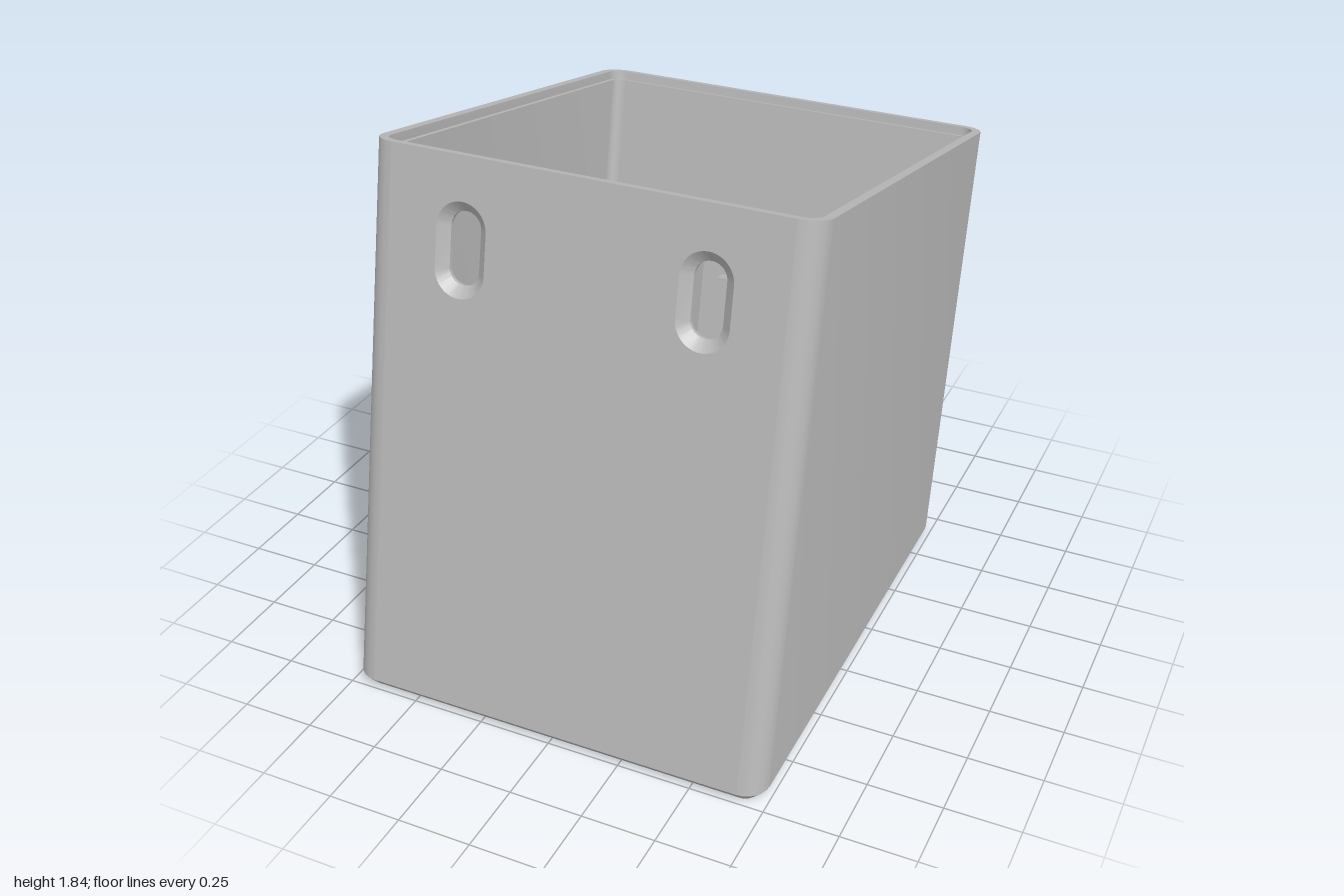
import * as THREE from 'three';
import { toCreasedNormals } from 'three/addons/utils/BufferGeometryUtils.js';

const TILT = Math.atan(0.2), S = Math.sin(TILT), C = Math.cos(TILT);
const CENTRE_Z = 0.156;        // where the tilted axis meets the ground
const HX = 0.74, HW = 0.835;   // half width and half depth across the axis
const R = 0.08, WALL = 0.045, LIP = 0.03, TOP = 1.709;
const FLAT = HX - R;           // half width of the flat front and back panels
const STEPS = 6;

const V = (x, y, z) => new THREE.Vector3(x, y, z);
// Axis height at which depth w lies at ground height y
const vAt = (y, w) => (y - w * S) / C;
const square = (v) => (x, w) => V(x, v, w);
const level = (y) => (x, w) => V(x, vAt(y, w), w);
const groundPoint = (y) => (x, z) =>
  V(x, y * C - (z - CENTRE_Z) * S, (z - CENTRE_Z) * C + y * S);

// Rounded rectangle, placed in space by the given function
function ring(hx, hw, r, place, centre = 0) {
  const pts = [];
  [[1, 1], [-1, 1], [-1, -1], [1, -1]].forEach(([sx, sw], q) => {
    for (let i = 0; i <= STEPS; i++) {
      const a = (q + i / STEPS) * Math.PI / 2;
      pts.push(place(sx * (hx - r) + r * Math.cos(a), centre + sw * (hw - r) + r * Math.sin(a)));
    }
  });
  return pts;
}

// Closed loops joined by bands; skip(band, i) leaves a gap for a panel
function loft(rings, skip = () => false) {
  const pos = [];
  for (let k = 0; k < rings.length - 1; k++) {
    const lo = rings[k], hi = rings[k + 1];
    for (let i = 0; i < lo.length; i++) {
      if (skip(k, i)) continue;
      const j = (i + 1) % lo.length;
      for (const p of [lo[i], hi[i], hi[j], lo[i], hi[j], lo[j]]) pos.push(p.x, p.y, p.z);
    }
  }
  const g = new THREE.BufferGeometry();
  g.setAttribute('position', new THREE.Float32BufferAttribute(pos, 3));
  return toCreasedNormals(g, 0.6);
}

// Upright slot outline
function slot(cx, cy, r, half) {
  const pts = [];
  for (let i = 0; i <= 24; i++) {
    const a = i / 24 * Math.PI;
    pts.push(new THREE.Vector2(cx + r * Math.cos(a), cy + half - r + r * Math.sin(a)));
  }
  const lower = pts.map((p) => new THREE.Vector2(2 * cx - p.x, 2 * cy - p.y));
  return [...pts, ...lower];
}

// Teardrop outline: a round base with tangents to a tip above
function drop(cy, r, tip) {
  const a0 = Math.asin(r / tip), span = Math.PI + 2 * a0;
  const pts = [new THREE.Vector2(0, cy + tip)];
  for (let i = 0; i <= 36; i++) {
    const a = Math.PI - a0 + i / 36 * span;
    pts.push(new THREE.Vector2(r * Math.cos(a), cy + r * Math.sin(a)));
  }
  return pts;
}

const atDepth = (outline, w) => outline.map((p) => V(p.x, p.y, w));

// Flat panel with openings
function panel(w, facing, bottom, top, outlines) {
  const shape = new THREE.Shape([[-FLAT, bottom], [FLAT, bottom], [FLAT, top], [-FLAT, top]]
    .map(([x, y]) => new THREE.Vector2(x, y)));
  shape.holes = outlines.map((o) => new THREE.Path(o));
  const g = new THREE.ShapeGeometry(shape);
  if (facing < 0) g.rotateY(Math.PI);
  return g.translate(0, 0, w);
}

export function createModel() {
  const model = new THREE.Group();
  const body = new THREE.Group();
  body.name = 'tiltedBody';
  body.rotation.x = -TILT;
  body.position.z = CENTRE_Z;
  model.add(body);

  const grey = new THREE.MeshStandardMaterial({ color: 0xb8b8b8, side: THREE.DoubleSide });
  grey.name = 'light grey';
  const add = (name, geometry) => {
    const mesh = new THREE.Mesh(geometry, grey);
    mesh.name = name;
    body.add(mesh);
  };
  const box = (name, x0, x1, v0, v1, w0, w1) => add(name,
    new THREE.BoxGeometry(x1 - x0, v1 - v0, w1 - w0)
      .translate((x0 + x1) / 2, (v0 + v1) / 2, (w0 + w1) / 2));

  // Shell: outside, stepped rim, inside, floor ledge, square floor opening, chamfered foot
  const inset = (d, place) => ring(HX - d, HW - d, R - d, place);
  const shell = [
    inset(0, level(0.035)),
    inset(0, square(TOP)),
    inset(LIP, square(TOP)),
    inset(LIP, square(TOP - 0.03)),
    inset(WALL, square(TOP - 0.03)),
    inset(WALL, level(0.12)),
    ring(HX - 0.06, HW - 0.095, 0.03, level(0.12)),
    ring(HX - 0.06, HW - 0.095, 0.03, level(0.04)),
    ring(0.6, 0.605, 0.02, groundPoint(0.04), 0.1),
    ring(0.6, 0.605, 0.02, groundPoint(0), 0.1),
    inset(0.035, level(0)),
    inset(0, level(0.035)),
  ];
  const frontGap = STEPS, backGap = 3 * (STEPS + 1) - 1;
  add('shell', loft(shell, (k, i) => (k === 0 || k === 4) && (i === frontGap || i === backGap)));

  // Front and back panels
  const xs = [-0.405, 0.405], slotV = 1.413;
  const slotOuter = xs.map((x) => slot(x, slotV, 0.086, 0.153));
  const slotInner = xs.map((x) => slot(x, slotV, 0.052, 0.118));
  const dropOuter = drop(0.78, 0.17, 0.25), dropInner = drop(0.785, 0.085, 0.135);
  const inW = HW - WALL, inTop = TOP - 0.03;
  add('frontOuterPanel', panel(HW, 1, vAt(0.035, HW), TOP, slotOuter));
  add('frontInnerPanel', panel(inW, -1, vAt(0.12, inW), inTop, slotInner));
  add('backOuterPanel', panel(-HW, -1, vAt(0.035, -HW), TOP, [dropOuter]));
  add('backInnerPanel', panel(-inW, 1, vAt(0.12, -inW), inTop, [dropInner]));

  // Countersunk hanging slots
  xs.forEach((x, i) => add('hangingSlot', loft([
    atDepth(slotInner[i], inW), atDepth(slotInner[i], HW - 0.032), atDepth(slotOuter[i], HW)])));

  // Teardrop window in a shallow recess
  add('dropWindow', loft([atDepth(dropOuter, -HW), atDepth(dropOuter, -HW + 0.015),
    atDepth(dropInner, -HW + 0.015), atDepth(dropInner, -inW)]));

  // Holder inside the back wall: hooked rails and two cross bars
  for (const s of [-1, 1]) {
    box('holderRail', s * 0.3 - 0.03, s * 0.3 + 0.03, 0.55, 1.216, -inW, -0.518);
    box('holderFlange', s * 0.235 - 0.035, s * 0.235 + 0.035, 0.55, 1.216, -0.57, -0.518);
  }
  box('upperBar', -0.19, 0.19, 0.96, 1.0, -inW, -0.74);
  box('lowerBar', -0.19, 0.19, 0.63, 0.67, -inW, -0.73);

  return model;
}
